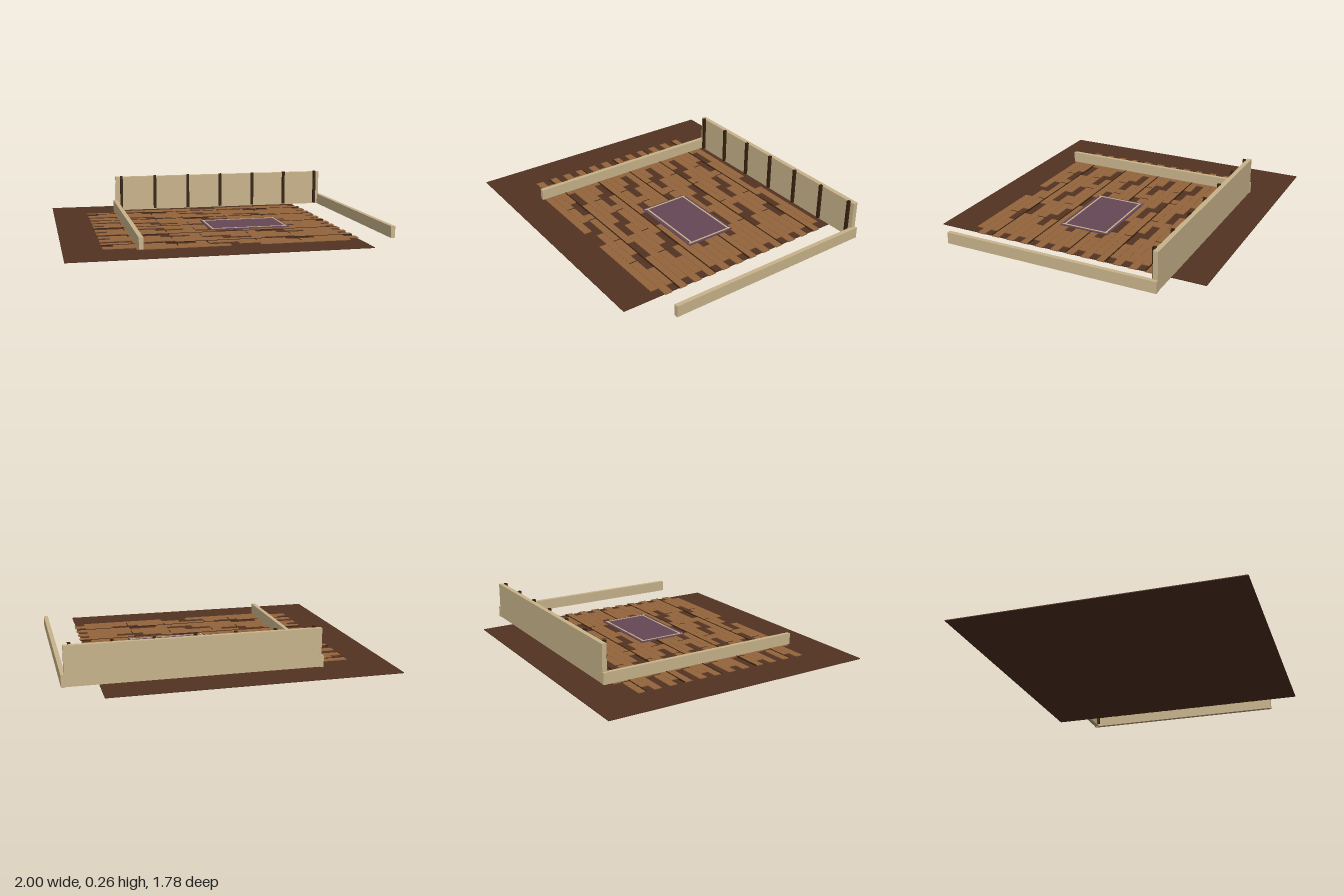
import * as THREE from 'three';

const material = (name, color) => {
  const m = new THREE.MeshStandardMaterial({ color });
  m.name = name;
  return m;
};

export function createModel() {
  const model = new THREE.Group();
  model.name = 'roomFloor';
  const darkWood = material('darkWood', 0x533323);
  const plankWood = material('plankWood', 0x94653b);
  const seamWood = material('seamWood', 0x38220f);
  const cream = material('creamWall', 0xc9b48b);
  const purple = material('purpleRug', 0x674757);

  // Box given by its limits on each axis
  const box = (name, mat, x0, x1, y0, y1, z0, z1, parent = model) => {
    const mesh = new THREE.Mesh(new THREE.BoxGeometry(x1 - x0, y1 - y0, z1 - z0), mat);
    mesh.position.set((x0 + x1) / 2, (y0 + y1) / 2, (z0 + z1) / 2);
    mesh.name = name;
    parent.add(mesh);
    return mesh;
  };

  // Ground slab
  box('groundSlab', darkWood, -1, 0.78, 0, 0.005, -0.89, 0.89);

  // Staggered planks: four row patterns repeat, each a list of [start, end]
  const planks = new THREE.Group();
  planks.name = 'planks';
  model.add(planks);
  const patterns = [
    [[-0.58, -0.02], [0.16, 0.72]],
    [[-0.77, -0.51], [-0.325, 0.23], [0.42, 0.79]],
    [[-0.70, -0.39], [-0.21, 0.35], [0.53, 0.72]],
    [[-0.77, -0.14], [0.04, 0.79]],
  ];
  const joints = [[], [-0.585], [-0.14, 0.16], [-0.33, 0.42]];
  const rows = 25, depth = 0.0519, zStart = -0.627;
  for (let r = 0; r < rows; r++) {
    const z = zStart + r * depth;
    for (const [x0, x1] of patterns[r % 4]) {
      box('plank', plankWood, x0, x1, 0.003, 0.009, z + 0.0008, z + depth - 0.0008, planks);
    }
    for (const x of joints[r % 4]) {
      box('plankJoint', seamWood, x - 0.003, x + 0.003, 0.004, 0.0098, z, z + depth, planks);
    }
  }

  // Long seams across the floor
  for (let i = 0; i < 5; i++) {
    const z = -0.524 + i * 0.26;
    box('floorSeam', seamWood, -0.77, 0.785, 0.004, 0.0105, z - 0.004, z + 0.004);
  }

  // Back wall with upright battens
  box('backWall', cream, -0.555, 0.98, 0.012, 0.253, -0.685, -0.655);
  for (let i = 0; i < 7; i++) {
    const x = -0.515 + i * 0.243;
    box('batten', seamWood, x - 0.009, x + 0.009, 0.02, 0.26, -0.657, -0.638);
  }

  // Low side walls
  for (const x of [-0.557, 0.985]) {
    box('sideWall', cream, x - 0.0135, x + 0.0135, 0.01, 0.082, -0.687, 0.685);
  }

  // Rug with border stripes
  box('rug', purple, -0.047, 0.475, 0.008, 0.015, -0.12, 0.213);
  for (const z of [-0.1, 0.188]) {
    box('rugStripe', cream, -0.035, 0.463, 0.012, 0.017, z - 0.005, z + 0.005);
  }
  for (const x of [-0.03, 0.458]) {
    box('rugStripe', cream, x - 0.005, x + 0.005, 0.012, 0.0168, -0.113, 0.206);
  }

  return model;
}
